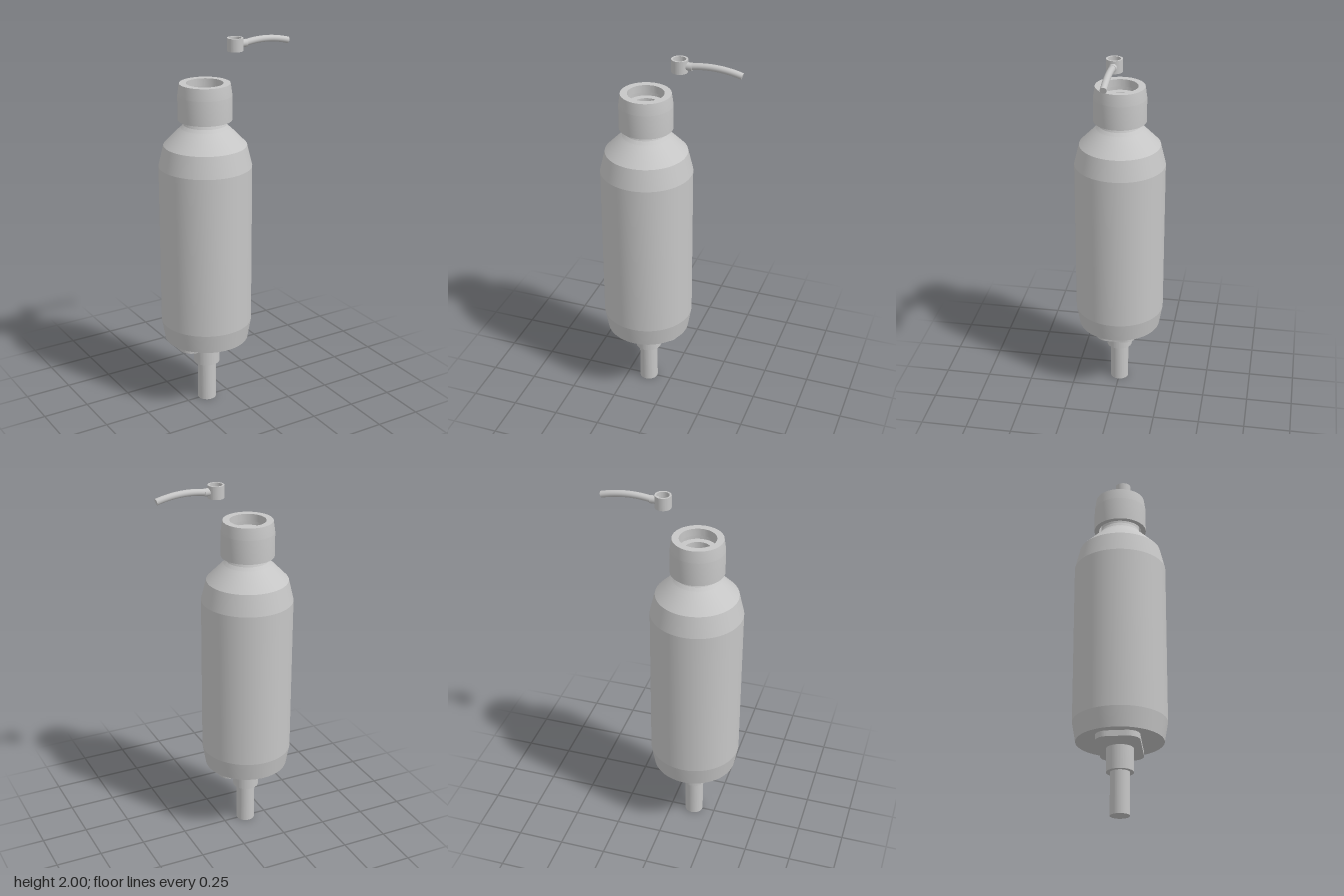
import * as THREE from 'three';
import { toCreasedNormals } from 'three/addons/utils/BufferGeometryUtils.js';

const AXIS = -0.13; // x of the bottle axis

export function createModel() {
  const model = new THREE.Group();
  model.name = 'pumpBottle';
  const grey = new THREE.MeshStandardMaterial({ color: 0xc6c6c6 });
  grey.name = 'plainGrey';

  const add = (name, geometry, x = AXIS, y = 0, z = 0) => {
    const mesh = new THREE.Mesh(geometry, grey);
    mesh.name = name;
    mesh.position.set(x, y, z);
    model.add(mesh);
    return mesh;
  };
  // Turned part with sharp edges between profile segments
  const turned = (name, points, x) => {
    const profile = points.map(([r, y]) => new THREE.Vector2(r, y));
    return add(name, toCreasedNormals(new THREE.LatheGeometry(profile, 72), 0.16), x);
  };

  // Hollow bottle: outside from the base up, then inside back down
  turned('bottle', [
    [0, 0.358], [0.225, 0.38], [0.243, 0.485], [0.243, 1.355], [0.216, 1.467],
    [0.142, 1.543], [0.125, 1.558], [0.111, 1.575], [0.103, 1.595], [0.1, 1.73],
    [0.067, 1.73], [0.067, 1.59], [0.11, 1.54], [0.2, 1.455], [0.223, 1.35],
    [0.223, 0.49], [0.205, 0.4], [0, 0.4],
  ]);

  // Screw collar with a round opening in its top
  turned('cap', [
    [0.115, 1.6], [0.14, 1.6], [0.14, 1.728], [0.131, 1.79],
    [0.095, 1.79], [0.095, 1.75], [0.115, 1.75], [0.115, 1.6],
  ]);

  // Stepped pump body below the base
  turned('pumpTube', [
    [0, 0], [0.05, 0], [0.05, 0.222], [0.07, 0.222], [0.07, 0.375],
  ]);

  // Rounded oblong plate under the base
  const w = 0.187, d = 0.112, r = 0.065;
  const plate = new THREE.Shape();
  plate.moveTo(-w + r, -d);
  plate.lineTo(w - r, -d);
  plate.absarc(w - r, -d + r, r, -Math.PI / 2, 0);
  plate.absarc(w - r, d - r, r, 0, Math.PI / 2);
  plate.absarc(-w + r, d - r, r, Math.PI / 2, Math.PI);
  plate.absarc(-w + r, -d + r, r, Math.PI, Math.PI * 1.5);
  const plateGeometry = new THREE.ExtrudeGeometry(plate, {
    depth: 0.03, bevelEnabled: false, curveSegments: 12,
  });
  plateGeometry.rotateX(-Math.PI / 2);
  add('basePlate', toCreasedNormals(plateGeometry, 0.5), AXIS, 0.346);

  // Separate spout head: open ring, short socket and curved tube
  turned('nozzleRing', [
    [0.032, 1.933], [0.042, 1.933], [0.042, 2], [0.032, 2], [0.032, 1.933],
  ], 0.049);

  const socket = new THREE.CylinderGeometry(0.02, 0.02, 0.043, 32);
  socket.rotateZ(-Math.PI / 2);
  add('spoutSocket', socket, 0.0935, 1.967);

  const path = new THREE.QuadraticBezierCurve3(
    new THREE.Vector3(0.1, 1.966, 0),
    new THREE.Vector3(0.235, 1.993, 0),
    new THREE.Vector3(0.369, 1.954, 0),
  );
  add('spout', new THREE.TubeGeometry(path, 24, 0.017, 24), 0);

  const end = path.getPoint(1);
  const tip = add('spoutTip', new THREE.CircleGeometry(0.017, 24), end.x, end.y, end.z);
  tip.quaternion.setFromUnitVectors(new THREE.Vector3(0, 0, 1), path.getTangent(1));

  return model;
}
